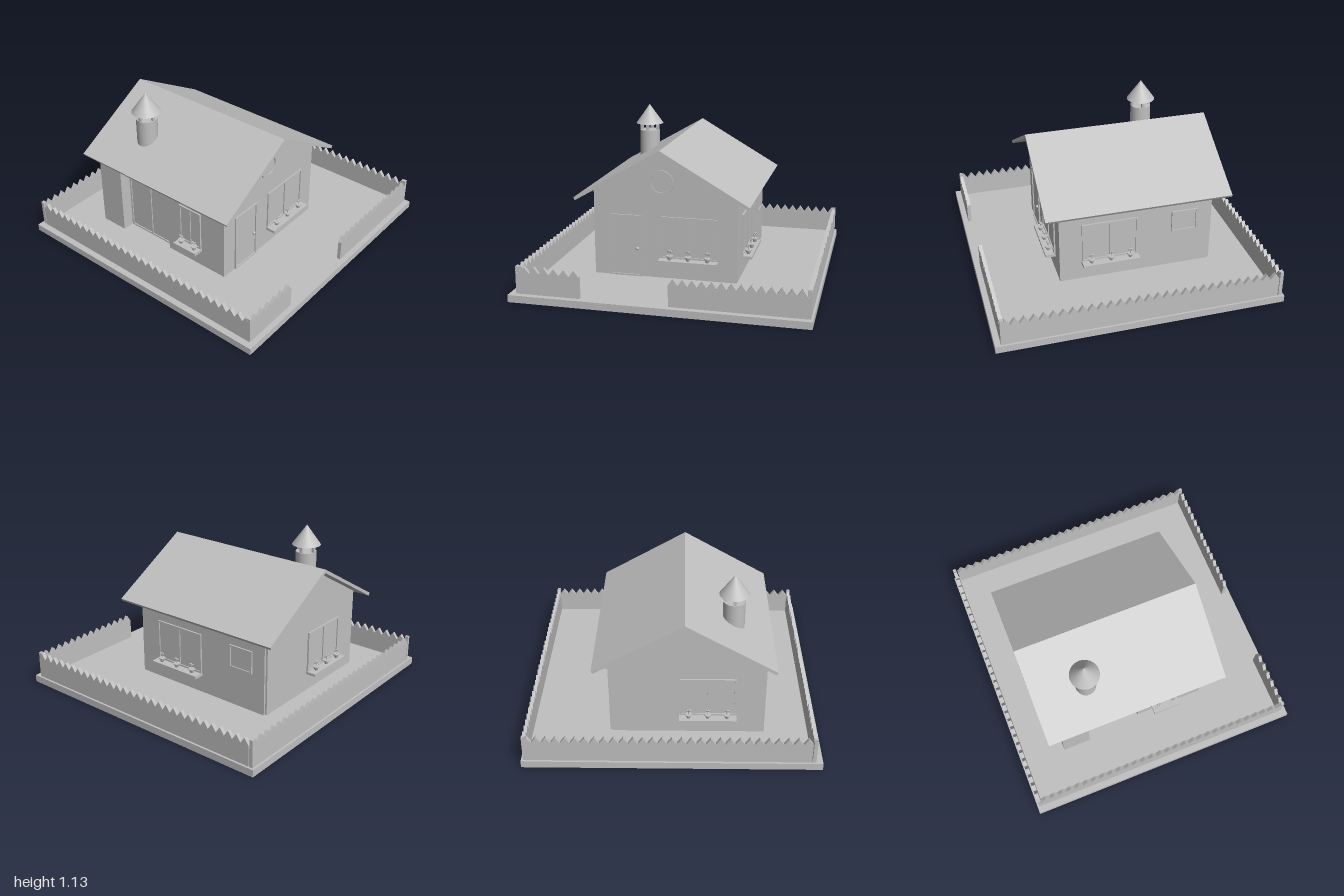
import * as THREE from 'three';

const grey = new THREE.MeshStandardMaterial({ color: 0xc0c0c0 });
grey.name = 'plain grey';

function add(parent, name, geometry, x = 0, y = 0, z = 0) {
  const mesh = new THREE.Mesh(geometry, grey);
  mesh.name = name;
  mesh.position.set(x, y, z);
  parent.add(mesh);
  return mesh;
}

function group(parent, name, x = 0, y = 0, z = 0, turn = 0) {
  const g = new THREE.Group();
  g.name = name;
  g.position.set(x, y, z);
  g.rotation.y = turn;
  parent.add(g);
  return g;
}

const box = (w, h, d) => new THREE.BoxGeometry(w, h, d);

function extrude(points, depth) {
  const shape = new THREE.Shape(points.map(([a, b]) => new THREE.Vector2(a, b)));
  return new THREE.ExtrudeGeometry(shape, { depth, bevelEnabled: false });
}

// Extrude a (z, y) profile along x from x0 to x1
function alongX(points, x0, x1) {
  const geometry = extrude(points.map(([z, y]) => [-z, y]), x1 - x0);
  return geometry.rotateY(Math.PI / 2).translate(x0, 0, 0);
}

// Roof pitch shared by the roof slabs and the gable walls
const GROUND = 0.05, RIDGE_Y = 0.97, RIDGE_Z = 0.08, SLOPE = 0.577;
const roofY = (z) => RIDGE_Y - SLOPE * Math.abs(z - RIDGE_Z);

// Framed opening facing local +z, centred on local x, with bars between panes
function framed(parent, name, w, h, panes, x, y, z, turn) {
  const g = group(parent, name, x, y, z, turn);
  const t = 0.012, d = 0.012;
  for (const s of [-1, 1]) {
    add(g, 'frameSide', box(t, h, d), s * (w - t) / 2, h / 2, d / 2);
    add(g, 'frameRail', box(w - 2 * t, t, d), 0, s > 0 ? h - t / 2 : t / 2, d / 2);
  }
  for (let i = 1; i < panes; i++) {
    add(g, 'frameBar', box(t, h - 2 * t, d), (i / panes - 0.5) * w, h / 2, d / 2);
  }
  add(g, 'panel', box(w - 2 * t, h - 2 * t, 0.004), 0, h / 2, 0.002);
  return g;
}

// Flower pot with stem, leaves and petals
function flowerPot(parent, x, z) {
  const g = group(parent, 'flowerPot', x, 0, z);
  add(g, 'pot', new THREE.CylinderGeometry(0.02, 0.011, 0.026, 12), 0, 0.013, 0);
  add(g, 'potRim', new THREE.CylinderGeometry(0.024, 0.024, 0.006, 12), 0, 0.028, 0);
  add(g, 'stem', new THREE.CylinderGeometry(0.003, 0.003, 0.03, 6), 0, 0.045, 0);
  for (let i = 0; i < 5; i++) {
    const a = (i / 5) * Math.PI * 2;
    add(g, 'petal', new THREE.SphereGeometry(0.007, 8, 6),
      Math.cos(a) * 0.01, 0.061 + Math.sin(a) * 0.008, Math.sin(a) * 0.008);
  }
}

// Window with a sill shelf carrying pots at the given local x positions
function sillWindow(parent, name, w, panes, pots, x, z, turn) {
  const g = framed(parent, name, w, 0.295, panes, x, 0.197, z, turn);
  add(g, 'sill', box(w + 0.01, 0.02, 0.075), 0, -0.01, 0.0375);
  pots.forEach((p) => flowerPot(g, p, 0.04));
}

// Saw-toothed fence panel running along local x
function fence(parent, name, length, x, z, turn) {
  const n = Math.round(length / 0.064), p = length / n;
  const pts = [[length, GROUND], [length, 0.195]];
  for (let i = n - 1; i >= 0; i--) pts.push([(i + 0.5) * p, 0.24], [i * p, 0.195]);
  pts.push([0, GROUND]);
  const geometry = extrude(pts, 0.025).translate(-length / 2, 0, -0.0125);
  add(parent, name, geometry, x, 0, z).rotation.y = turn;
}

export function createModel() {
  const model = new THREE.Group();
  model.name = 'cottage';
  add(model, 'base', box(2, GROUND, 2), 0, GROUND / 2, 0);

  // Walls in three slices: forward wing, recessed entry, main room
  const back = -0.43, front = 0.58, wing = 0.63, recess = 0.535;
  const top = (z) => [z, roofY(z) - 0.022];
  const walls = group(model, 'walls');
  const left = [[back, GROUND], [wing, GROUND], top(wing), top(RIDGE_Z), top(back)];
  const entry = [[back, GROUND], [recess, GROUND], [recess, 0.495], [front, 0.495],
    top(front), top(RIDGE_Z), top(back)];
  const main = [[back, GROUND], [front, GROUND], top(front), top(RIDGE_Z), top(back)];
  add(walls, 'wingWall', alongX(left, -0.655, -0.465));
  add(walls, 'entryWall', alongX(entry, -0.465, -0.06));
  add(walls, 'mainWall', alongX(main, -0.06, 0.445));
  const facing = [[-0.415, GROUND], [wing, GROUND], top(wing), top(RIDGE_Z), top(-0.415)];
  add(walls, 'sideFacing', alongX(facing, -0.668, -0.655));

  // Roof slabs cut square to the slope
  const half = 0.61, t = 0.022, cos = 0.866, sin = 0.5;
  const eave = RIDGE_Y - half * SLOPE;
  add(model, 'roof', alongX([
    [RIDGE_Z - half, eave], [RIDGE_Z - half + t * sin, eave - t * cos],
    [RIDGE_Z, RIDGE_Y - t / cos],
    [RIDGE_Z + half - t * sin, eave - t * cos], [RIDGE_Z + half, eave],
    [RIDGE_Z, RIDGE_Y],
  ], -0.77, 0.555));

  // Chimney with an open crown under a conical cap
  const chimney = group(model, 'chimney', -0.39, 0, 0.41);
  add(chimney, 'chimneyStack', new THREE.CylinderGeometry(0.075, 0.075, 0.3, 32), 0, 0.785, 0);
  for (let i = 0; i < 4; i++) {
    const a = (i * Math.PI) / 2;
    add(chimney, 'capPost', box(0.02, 0.055, 0.02), Math.cos(a) * 0.062, 0.96, Math.sin(a) * 0.062);
  }
  add(chimney, 'chimneyCap', new THREE.ConeGeometry(0.103, 0.145, 32), 0, 1.0575, 0);

  // Front: glazed entry doors and a small window
  const quarter = Math.PI / 2;
  framed(model, 'entryDoors', 0.4, 0.445, 2, -0.262, GROUND, recess, 0);
  sillWindow(model, 'frontWindow', 0.19, 2, [-0.055, 0.06], 0.147, front, 0);

  // Right side: door, wide window and round gable window
  const door = framed(model, 'sideDoor', 0.235, 0.44, 1, 0.443, GROUND, 0.348, quarter);
  add(door, 'doorKnob', new THREE.SphereGeometry(0.012, 16, 12), 0.08, 0.203, 0.015);
  sillWindow(model, 'sideWindow', 0.4, 2, [-0.13, 0, 0.135], 0.443, -0.097, quarter);
  const round = group(model, 'roundWindow', 0.445, 0.725, 0.1, quarter);
  const ring = new THREE.Shape().absarc(0, 0, 0.09, 0, Math.PI * 2);
  ring.holes.push(new THREE.Path().absarc(0, 0, 0.065, 0, Math.PI * 2, true));
  add(round, 'roundFrame', new THREE.ExtrudeGeometry(ring,
    { depth: 0.01, bevelEnabled: false, curveSegments: 24 }));
  add(round, 'roundPane', new THREE.CircleGeometry(0.066, 32), 0, 0, 0.002);

  // Back and left windows
  sillWindow(model, 'backWindow', 0.4, 2, [-0.14, 0, 0.14], 0.085, back, Math.PI);
  framed(model, 'smallBackWindow', 0.19, 0.165, 1, -0.46, 0.328, back, Math.PI);
  sillWindow(model, 'leftWindow', 0.38, 2, [-0.13, 0, 0.13], -0.668, 0.24, -quarter);

  // Fence with a gateway on the right side
  fence(model, 'frontFence', 1.915, 0.0025, 0.9425, 0);
  fence(model, 'backFence', 1.915, 0.0025, -0.9725, 0);
  fence(model, 'leftFence', 1.91, -0.9725, -0.03, quarter);
  fence(model, 'rightFenceBack', 0.88, 0.9475, -0.52, quarter);
  fence(model, 'rightFenceFront', 0.415, 0.9475, 0.7225, quarter);
  // End posts of the fence panels
  for (const [x, z] of [[-0.9725, -0.9725], [-0.9725, 0.9425], [0.9475, -0.9725], [0.9475, 0.9425]]) {
    add(model, 'fencePost', box(0.024, 0.19, 0.024), x, 0.145, z);
  }
  return model;
}
